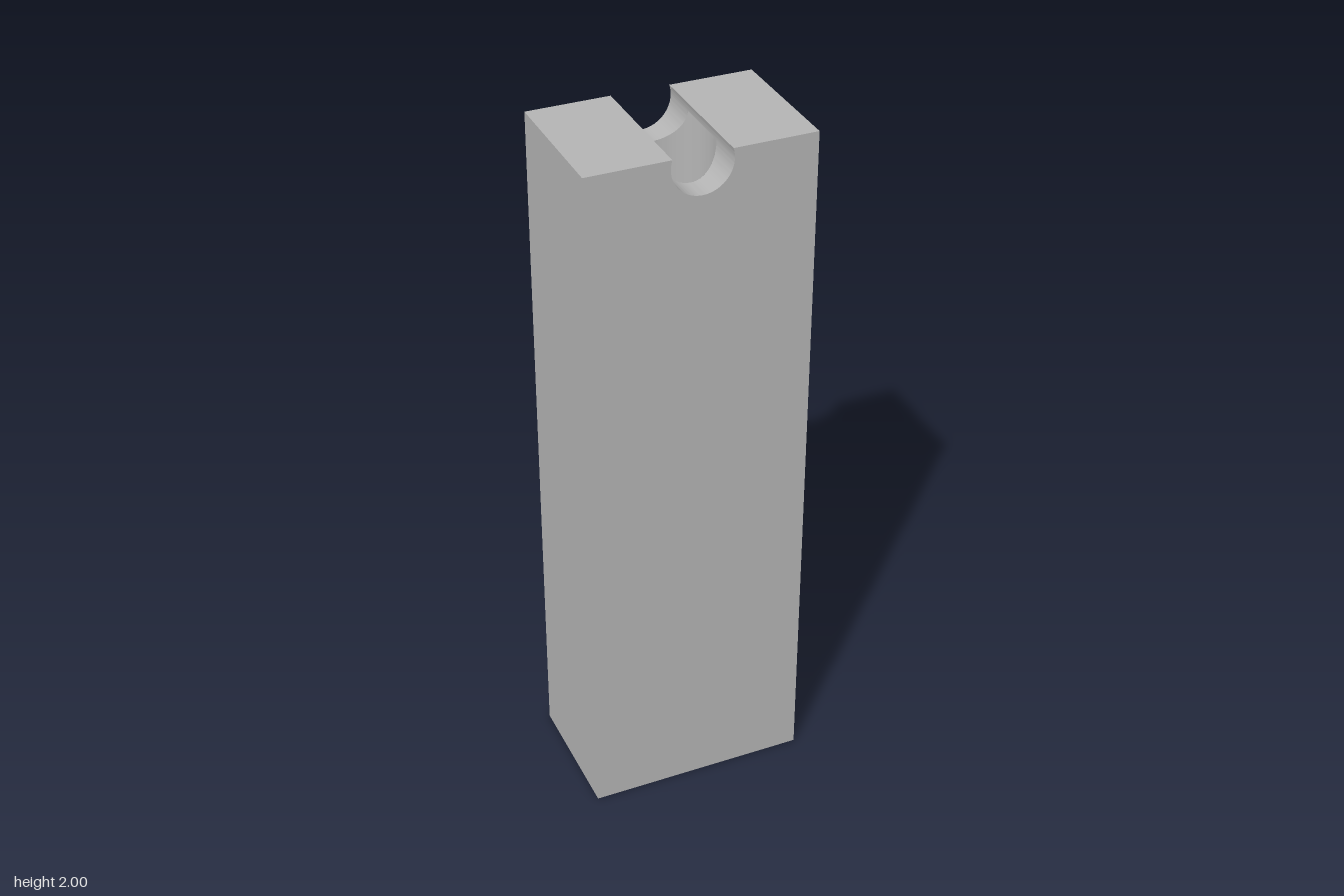
import * as THREE from 'three';
import { toCreasedNormals } from 'three/addons/utils/BufferGeometryUtils.js';

const W = 0.392, D = 0.628, H = 2;          // block size
const R = 0.123;                            // vertical bore radius
const r = 0.085, yc = 1.974;                // groove radius and axis height
const lip = Math.acos(-(H - yc) / r);       // groove angle where it meets the top
const open = r * Math.sin(lip);             // half width of the groove opening

// Ribbon of quads between two rows of points, smooth-shaded
function strip(a, b) {
  const p = [];
  for (let i = 0; i < a.length - 1; i++) {
    p.push(...a[i], ...b[i], ...b[i + 1], ...a[i], ...b[i + 1], ...a[i + 1]);
  }
  const g = new THREE.BufferGeometry();
  g.setAttribute('position', new THREE.Float32BufferAttribute(p, 3));
  return toCreasedNormals(g, 0.6);
}

const range = (from, to, n) => Array.from({ length: n + 1 }, (_, i) => from + (to - from) * i / n);

export function createModel() {
  const grey = new THREE.MeshStandardMaterial({ color: 0xb4b4b4, side: THREE.DoubleSide });
  grey.name = 'plain grey';
  const model = new THREE.Group();
  model.name = 'groovedPost';
  const block = new THREE.Group();
  block.name = 'block';
  block.rotation.y = -0.208;
  model.add(block);
  const add = (name, geometry) => {
    const mesh = new THREE.Mesh(geometry, grey);
    mesh.name = name;
    block.add(mesh);
  };

  // Side face outline with the round notch in its top edge
  const notched = new THREE.Shape();
  notched.moveTo(-D / 2, 0);
  notched.lineTo(D / 2, 0);
  notched.lineTo(D / 2, H);
  notched.lineTo(open, H);
  for (const t of range(lip, -lip, 48)) notched.lineTo(r * Math.sin(t), yc - r * Math.cos(t));
  notched.lineTo(-D / 2, H);

  const plateDepth = D / 2 - open;
  for (const s of [1, -1]) {
    const turn = s > 0 ? 0 : Math.PI;
    const side = s > 0 ? 'Left' : 'Right', end = s > 0 ? 'Front' : 'Back';
    add('notchedFace' + side, new THREE.ShapeGeometry(notched).rotateY(s * Math.PI / 2).translate(s * W / 2, 0, 0));
    add('face' + end, new THREE.PlaneGeometry(W, H).translate(0, H / 2, D / 2).rotateY(turn));
    add('top' + end, new THREE.PlaneGeometry(W, plateDepth).rotateX(-Math.PI / 2)
      .translate(0, H, s * (open + plateDepth / 2)));

    // Ceiling of the bore on either side of the groove
    const a = Math.asin(r / R);
    const segment = new THREE.Shape();
    segment.absarc(0, 0, R, a, Math.PI - a, false);
    add('boreCeiling' + end, new THREE.ShapeGeometry(segment, 24).rotateX(Math.PI / 2).rotateY(turn).translate(0, yc, 0));

    // Lower half of the groove, from the bore out to the side face
    const arc = range(-Math.PI / 2, Math.PI / 2, 48);
    const outer = arc.map(t => [s * W / 2, yc - r * Math.cos(t), r * Math.sin(t)]);
    const inner = arc.map(t => [s * Math.sqrt(R * R - (r * Math.sin(t)) ** 2), yc - r * Math.cos(t), r * Math.sin(t)]);
    add('grooveFloor' + side, s > 0 ? strip(outer, inner) : strip(inner, outer));

    // Overhanging lip of the groove
    const lipArc = s > 0 ? range(Math.PI / 2, lip, 8) : range(-lip, -Math.PI / 2, 8);
    const row = x => lipArc.map(t => [x, yc - r * Math.cos(t), r * Math.sin(t)]);
    add('grooveLip' + end, strip(row(W / 2), row(-W / 2)));
  }

  // Underside with the round bore opening
  const base = new THREE.Shape([[-1, -1], [1, -1], [1, 1], [-1, 1]].map(([x, z]) => new THREE.Vector2(x * W / 2, z * D / 2)));
  base.holes.push(new THREE.Path().absarc(0, 0, R, 0, Math.PI * 2, true));
  add('underside', new THREE.ShapeGeometry(base, 48).rotateX(Math.PI / 2));

  // Bore wall, ending where it breaks into the groove
  const around = range(0, Math.PI * 2, 96);
  const wall = height => around.map(t => {
    const z = R * Math.sin(t);
    return [R * Math.cos(t), height(z), z];
  });
  add('boreWall', strip(wall(z => yc - Math.sqrt(Math.max(0, r * r - z * z))), wall(() => 0)));

  return model;
}
